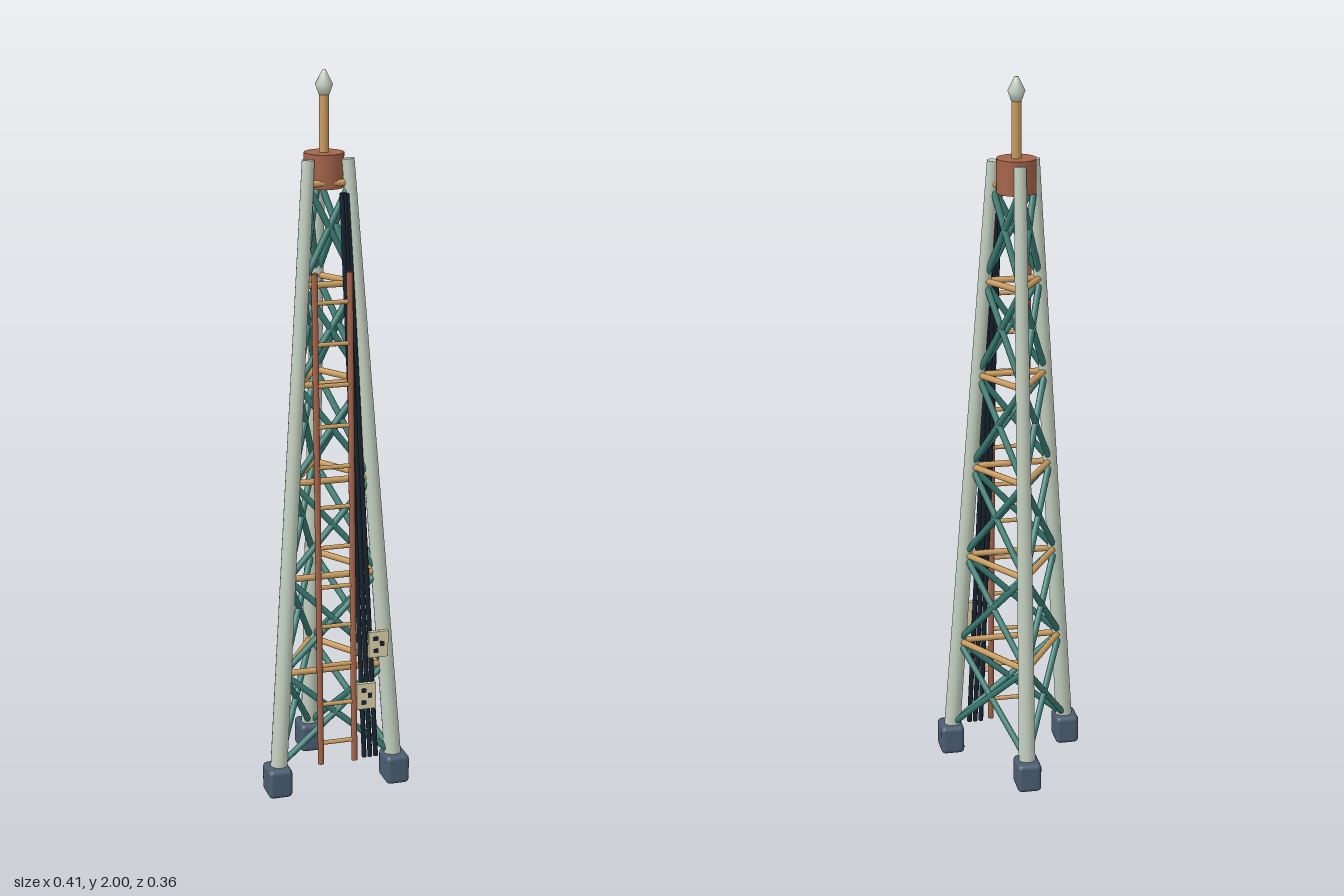
import * as THREE from 'three';
import { RoundedBoxGeometry } from 'three/addons/geometries/RoundedBoxGeometry.js';

const paint = (name, color) => {
  const m = new THREE.MeshStandardMaterial({ color });
  m.name = name;
  return m;
};
const V = (x, y, z) => new THREE.Vector3(x, y, z);

export function createModel() {
  const tower = new THREE.Group();
  tower.name = 'latticeTower';
  const pale = paint('pale green steel', 0xc3cfbf);
  const teal = paint('teal brace', 0x3b7d74);
  const tan = paint('brass tan', 0xc99c5e);
  const rust = paint('copper rust', 0xa4644a);
  const slate = paint('slate foot', 0x4a5d70);
  const dark = paint('dark cable', 0x17232f);
  const cream = paint('cream plate', 0xdccfa9);

  const add = (name, geometry, material, parent = tower) => {
    const mesh = new THREE.Mesh(geometry, material);
    mesh.name = name;
    parent.add(mesh);
    return mesh;
  };
  const group = (name) => {
    const g = new THREE.Group();
    g.name = name;
    tower.add(g);
    return g;
  };
  // Round bar from a to b, optionally tapered
  const bar = (name, a, b, r, material, parent, rTop = r, sides = 10) => {
    const dir = b.clone().sub(a);
    const mesh = add(name, new THREE.CylinderGeometry(rTop, r, dir.length(), sides), material, parent);
    mesh.position.copy(a).add(b).multiplyScalar(0.5);
    mesh.quaternion.setFromUnitVectors(V(0, 1, 0), dir.normalize());
    return mesh;
  };

  // Three tapered legs on rounded feet
  const legs = [
    [V(0.168, 0.06, 0.136), V(0.055, 1.77, 0.053)],
    [V(-0.168, 0.06, 0.136), V(-0.055, 1.77, 0.053)],
    [V(0, 0.06, -0.139), V(0, 1.77, -0.036)],
  ];
  const feet = [[0.171, 0.137], [-0.171, 0.137], [0, -0.142]];
  const legGroup = group('legs');
  legs.forEach(([a, b], i) => {
    bar('leg', a, b, 0.024, pale, legGroup, 0.017, 16);
    add('foot', new RoundedBoxGeometry(0.068, 0.084, 0.085, 2, 0.013), slate, legGroup)
      .position.set(feet[i][0], 0.042, feet[i][1]);
  });
  const onLeg = (i, y) => legs[i][0].clone().lerp(legs[i][1], (y - 0.06) / 1.71);

  // Crossed braces and horizontal ties on all three faces
  const braces = group('crossBraces');
  const ties = group('horizontalTies');
  for (let f = 0; f < 3; f++) {
    const g = (f + 1) % 3;
    for (let n = 0; n < 6; n++) {
      const low = 0.08 + n * 0.271, high = low + 0.271;
      bar('brace', onLeg(f, low), onLeg(g, high), 0.009, teal, braces);
      bar('brace', onLeg(g, low), onLeg(f, high), 0.009, teal, braces);
      bar('tie', onLeg(f, high), onLeg(g, high), 0.009, tan, ties);
    }
  }

  // Head drum, mast and pointed finial
  const axisZ = 0.013;
  add('headDrum', new THREE.CylinderGeometry(0.054, 0.054, 0.093, 28), rust).position.set(0, 1.736, axisZ);
  add('mast', new THREE.CylinderGeometry(0.013, 0.013, 0.17, 14), tan).position.set(0, 1.86, axisZ);
  const tip = [[0, 1.935], [0.014, 1.935], [0.024, 1.963], [0.005, 2], [0, 2]];
  add('finial', new THREE.LatheGeometry(tip.map(([r, y]) => new THREE.Vector2(r, y)), 16), pale)
    .position.z = axisZ;

  // Ladder leaning along the front face
  const ladder = group('ladder');
  const ladderZ = (y) => 0.152 - (y - 0.08) * 0.0446;
  for (const x of [-0.049, 0.049]) {
    bar('ladderRail', V(x, 0.08, ladderZ(0.08)), V(x, 1.47, ladderZ(1.47)), 0.0085, rust, ladder);
  }
  for (let i = 0; i < 12; i++) {
    const y = 0.142 + i * 0.1135;
    bar('rung', V(-0.049, y, ladderZ(y)), V(0.049, y, ladderZ(y)), 0.0065, tan, ladder, 0.0065, 8);
  }

  // Cables rising beside the ladder
  const cables = group('cables');
  for (const k of [-1, 0, 1]) {
    bar('cable', V(0.098 + k * 0.017, 0.08, 0.141), V(0.042 + k * 0.008, 1.68, 0.066), 0.007, dark, cables, 0.007, 8);
  }

  // Cream marker plates with small dark marks
  for (const [x, y, z] of [[0.118, 0.42, 0.146], [0.082, 0.27, 0.15]]) {
    const marker = group('markerPlate');
    marker.position.set(x, y, z);
    add('plate', new THREE.BoxGeometry(0.056, 0.076, 0.012), cream, marker);
    for (const [mx, my, w, h] of [[-0.008, 0.018, 0.014, 0.012], [0.01, 0.002, 0.012, 0.014], [-0.008, -0.018, 0.014, 0.012]]) {
      add('plateMark', new THREE.BoxGeometry(w, h, 0.003), dark, marker).position.set(mx, my, 0.0065);
    }
  }
  return tower;
}
